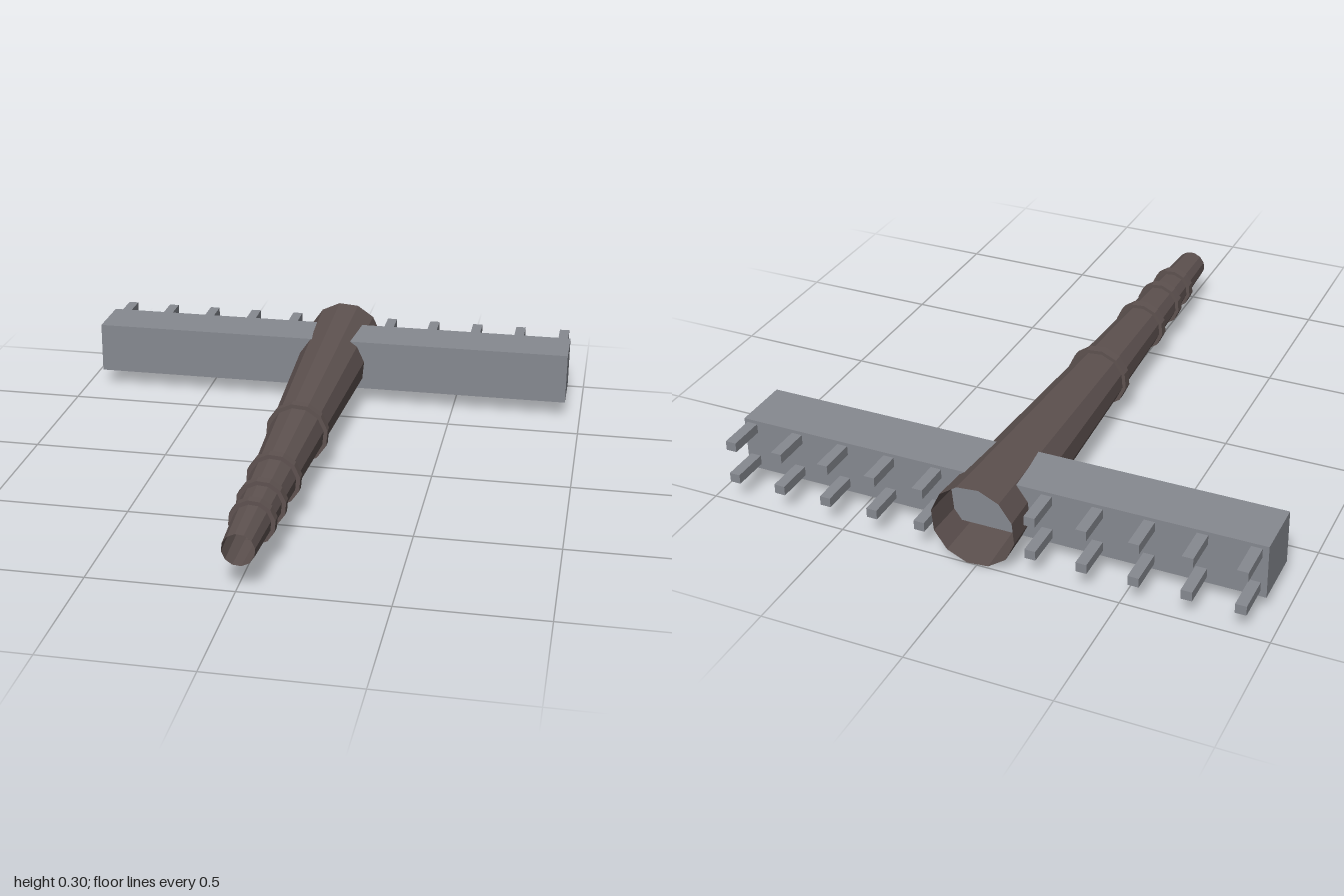
import * as THREE from 'three';

const TUBE_X = 0.01, TUBE_Y = 0.155, SIDES = 12;

// Tube radius tapers evenly from the wide back end to the narrow front end
const tubeRadius = (z) => THREE.MathUtils.lerp(0.15, 0.056, (z + 1) / 2);

// Faceted surface of revolution around the z axis, profile given as [radius, z]
function revolve(profile, phase) {
  const points = profile.map(([r, z]) => new THREE.Vector2(r, z));
  const geometry = new THREE.LatheGeometry(points, SIDES, THREE.MathUtils.degToRad(phase));
  geometry.rotateX(Math.PI / 2);
  return geometry;
}

export function createModel() {
  const model = new THREE.Group();
  model.name = 'barrelWithCrossbar';

  const darkMetal = new THREE.MeshStandardMaterial({ color: 0x5e5250, flatShading: true, side: THREE.DoubleSide });
  darkMetal.name = 'dark brown metal';
  const greyMetal = new THREE.MeshStandardMaterial({ color: 0x868990, flatShading: true });
  greyMetal.name = 'grey metal';

  const add = (name, geometry, material, x, y, z) => {
    const mesh = new THREE.Mesh(geometry, material);
    mesh.name = name;
    mesh.position.set(x, y, z);
    model.add(mesh);
  };

  // Open tapered barrel
  add('barrel', revolve([[tubeRadius(-1), -1], [tubeRadius(1), 1]], 10), darkMetal, TUBE_X, TUBE_Y, 0);

  // Raised bands around the barrel
  for (const z of [0.033, 0.447, 0.645, 0.784]) {
    const r = tubeRadius(z), h = 0.017;
    const profile = [[r - 0.002, z - h], [r + 0.014, z - h], [r + 0.014, z + h], [r - 0.002, z + h]];
    add('band', revolve(profile, 10), darkMetal, TUBE_X, TUBE_Y, 0);
  }

  // Crossbar through the wide end
  add('crossbar', new THREE.BoxGeometry(1.88, 0.194, 0.205), greyMetal, 0, 0.164, -0.765);

  // Two rows of pegs on the back of the crossbar, five on each side of the barrel
  const peg = new THREE.BoxGeometry(0.038, 0.034, 0.14);
  for (const y of [0.104, 0.232]) {
    for (let i = 0; i < 5; i++) {
      add('rightPeg', peg, greyMetal, -0.9 + i * 0.177, y, -0.93);
      add('leftPeg', peg, greyMetal, 0.91 - i * 0.176, y, -0.93);
    }
  }
  return model;
}
